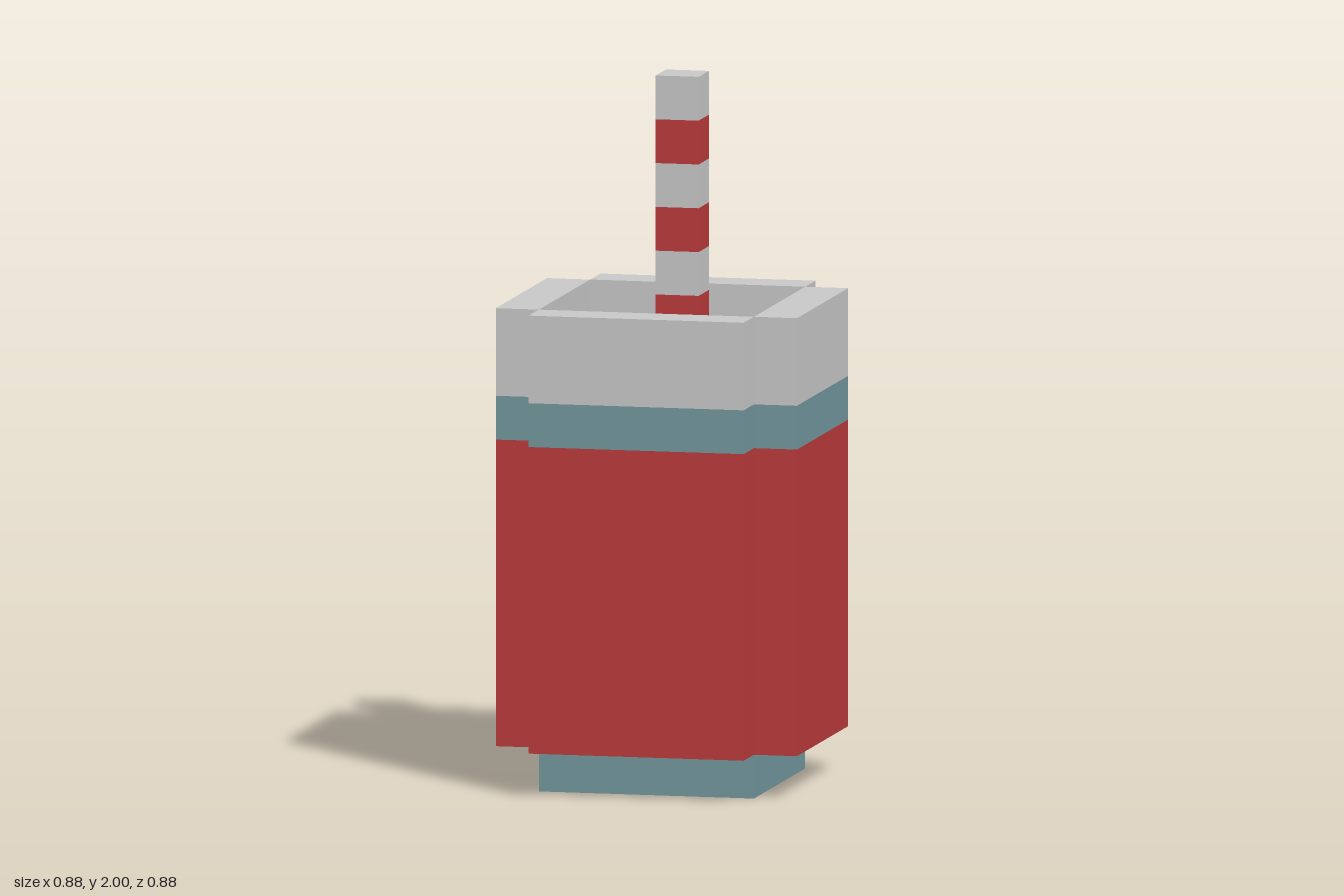
import * as THREE from 'three';

export function createModel() {
  const U = 0.125; // one block
  const mat = (name, color) => {
    const m = new THREE.MeshStandardMaterial({ color });
    m.name = name;
    return m;
  };
  const white = mat('white', 0xc9c9c9);
  const red = mat('red', 0xbd3a3a);
  const teal = mat('teal', 0x73989f);
  const drinkColor = mat('dark drink', 0x592c36);

  // Box given in blocks: size, bottom height and centre
  const block = (name, material, w, h, d, x, y, z) => {
    const mesh = new THREE.Mesh(new THREE.BoxGeometry(w * U, h * U, d * U), material);
    mesh.position.set(x * U, (y + h / 2) * U, z * U);
    mesh.name = name;
    return mesh;
  };

  const model = new THREE.Group();
  model.name = 'drinkCup';

  // Foot of the cup
  model.add(block('base', teal, 5, 1, 5, 0, 0, 0));

  // Four walls, each in three colour bands
  ['frontWall', 'leftWall', 'backWall', 'rightWall'].forEach((name, i) => {
    const wall = new THREE.Group();
    wall.name = name;
    wall.add(
      block('lowerBand', red, 5, 7, 1, 0, 1, 3),
      block('stripeBand', teal, 5, 1, 1, 0, 8, 3),
      block('rimBand', white, 5, 2, 1, 0, 9, 3)
    );
    wall.rotation.y = i * Math.PI / 2;
    model.add(wall);
  });

  // Drink surface, one block below the rim
  const drink = new THREE.Mesh(new THREE.PlaneGeometry(5 * U, 5 * U), drinkColor);
  drink.rotation.x = -Math.PI / 2;
  drink.position.y = 10 * U;
  drink.name = 'drink';
  model.add(drink);

  // Striped straw standing in the drink
  const straw = new THREE.Group();
  straw.name = 'straw';
  for (let i = 0; i < 6; i++) {
    straw.add(block('strawBand', i % 2 ? white : red, 1, 1, 1, 0, 10 + i, -1));
  }
  model.add(straw);

  return model;
}
